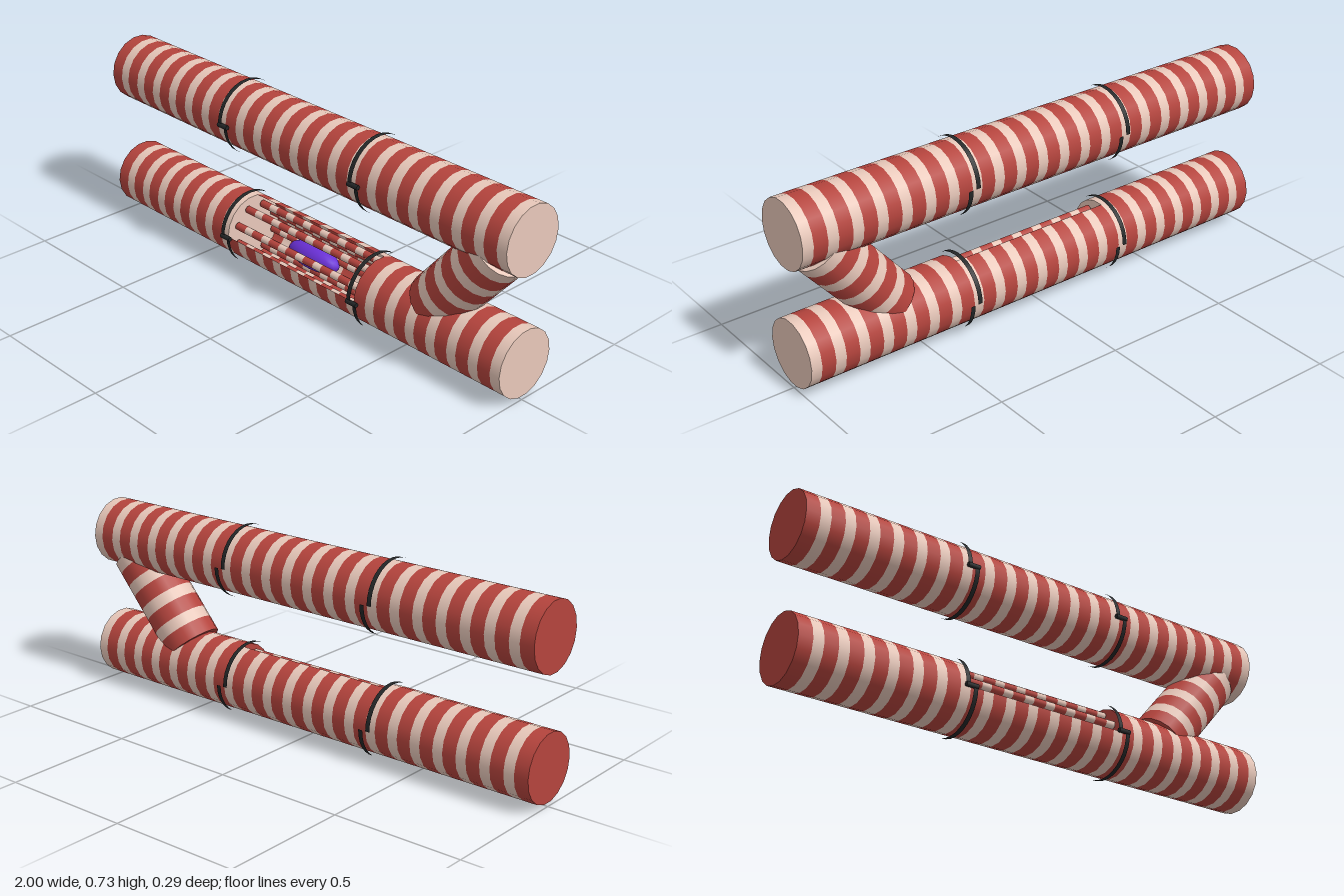
import * as THREE from 'three';

const mat = (color, side = THREE.FrontSide) => new THREE.MeshStandardMaterial({ color, side });
const RED = 0xb5443d, CREAM = 0xe8c8ba;
const red = mat(RED), cream = mat(CREAM);
const redShell = mat(RED, THREE.DoubleSide), creamShell = mat(CREAM, THREE.DoubleSide);
const black = mat(0x232627), purple = mat(0x6a30d6);
const Z = -0.003, LOW = 0.139, HIGH = 0.595, R = 0.127;

// Cylinder along x; angle 0 is at the front and runs down, back, then up
function alongX(radius, length, sides, open = false, start = 0, sweep = Math.PI * 2) {
  return new THREE.CylinderGeometry(radius, radius, length, sides, 1, open, start, sweep).rotateZ(-Math.PI / 2);
}

// Striped bar along x, centred on its group; stripes in [openFrom, openTo) leave a window at the upper front
function stripedBar(name, radius, length, periods, sides, openFrom = -1, openTo = -1) {
  const group = new THREE.Group();
  group.name = name;
  const period = length / periods;
  const solid = [0.57, 0.43].map(f => alongX(radius, period * f, sides));
  const shell = [0.57, 0.43].map(f => alongX(radius, period * f, 13, true, 0, Math.PI * 13 / 9));
  for (let i = 0; i < periods; i++) {
    const open = i >= openFrom && i < openTo;
    for (let k = 0; k < 2; k++) {
      const mats = open ? [redShell, creamShell] : [red, cream];
      const mesh = new THREE.Mesh((open ? shell : solid)[k], mats[k]);
      mesh.name = k ? 'creamStripe' : 'redStripe';
      mesh.position.x = -length / 2 + period * (i + (k ? 0.785 : 0.285));
      group.add(mesh);
    }
  }
  return group;
}

// Two offset half hoops joined by a short bar at the front
function strap(x, y) {
  const group = new THREE.Group();
  group.name = 'strap';
  const r = 0.139, step = 0.031;
  [Math.PI, 0].forEach((start, i) => {
    const hoop = new THREE.Mesh(alongX(r, 0.018, 16, true, start, Math.PI), black);
    hoop.name = i ? 'lowerHoop' : 'upperHoop';
    hoop.position.x = (i - 0.5) * step;
    group.add(hoop);
  });
  const link = new THREE.Mesh(alongX(0.009, step + 0.018, 6), black);
  link.name = 'strapLink';
  link.position.z = r - 0.002;
  group.add(link);
  group.position.set(x, y, Z);
  return group;
}

export function createModel() {
  const model = new THREE.Group();
  model.name = 'stripedTubes';

  // Main tubes
  const upper = stripedBar('upperTube', R, 2, 21, 18);
  upper.position.set(0, HIGH, Z);
  const lower = stripedBar('lowerTube', R, 2, 21, 18, 7, 14);
  lower.position.set(0, LOW, Z);
  model.add(upper, lower);

  // Slanted connecting tube
  const brace = stripedBar('connectingTube', 0.108, 0.42, 4, 18);
  brace.position.set(0.745, 0.367, Z);
  brace.rotation.z = Math.atan2(0.318, 0.274);
  model.add(brace);

  // Straps
  for (const y of [LOW, HIGH]) for (const x of [-0.336, 0.333]) model.add(strap(x, y));

  // Ring of thin rods inside the window
  for (let i = 0; i < 8; i++) {
    const a = (i + 0.5) * Math.PI / 4;
    const rod = stripedBar('innerRod', 0.015, 0.64, 7, 10);
    rod.position.set(0, LOW + 0.095 * Math.sin(a), Z + 0.095 * Math.cos(a));
    model.add(rod);
  }

  // Core at the centre of the rods
  const core = new THREE.Mesh(new THREE.SphereGeometry(1, 20, 14), purple);
  core.name = 'core';
  core.scale.set(0.125, 0.048, 0.048);
  core.position.set(0, LOW, Z);
  model.add(core);

  return model;
}
